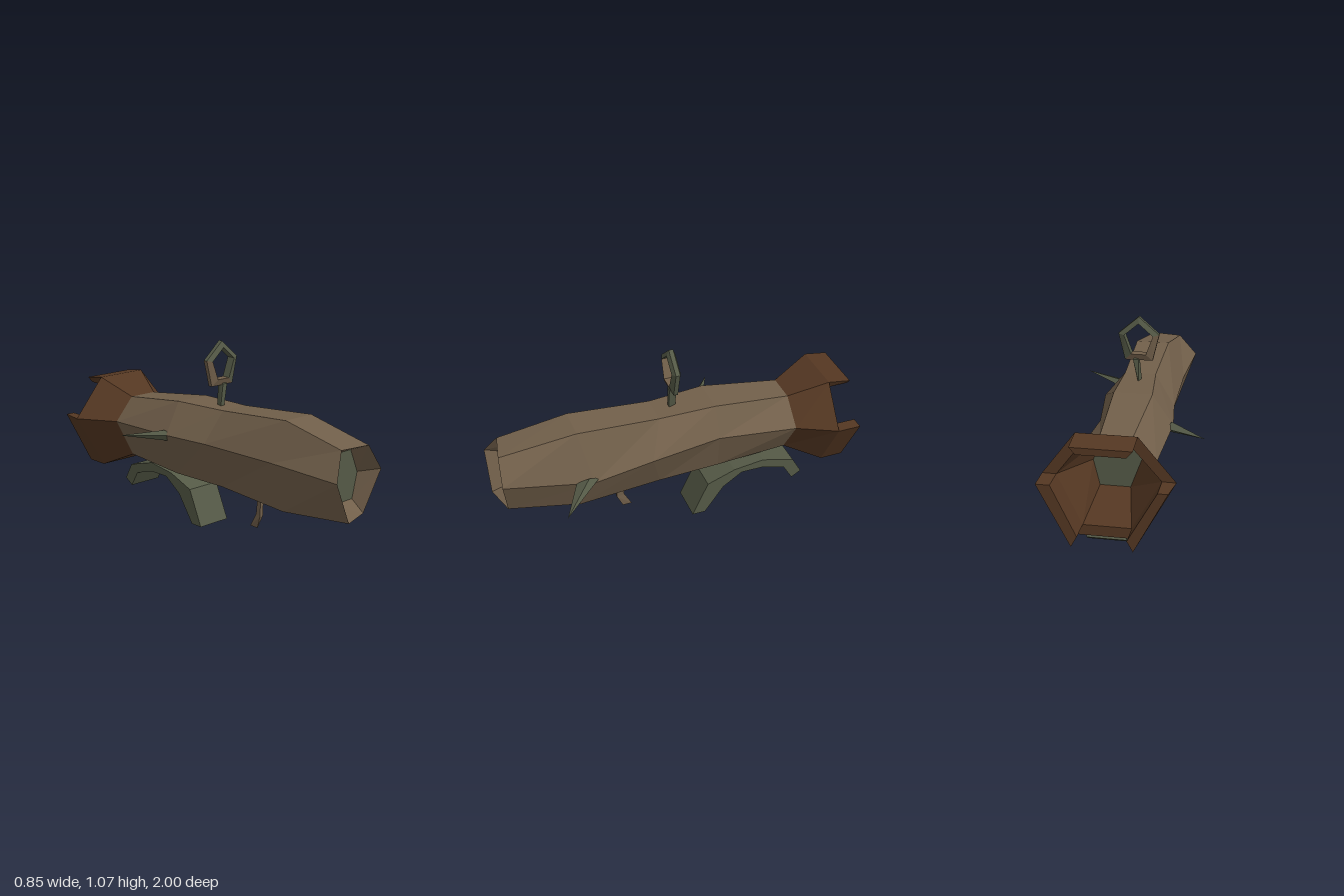
import * as THREE from 'three';
import { ConvexGeometry } from 'three/addons/geometries/ConvexGeometry.js';

const bark = new THREE.MeshStandardMaterial({ color: 0x715f4a });
bark.name = 'bark';
const darkWood = new THREE.MeshStandardMaterial({ color: 0x543722 });
darkWood.name = 'darkWood';
const moss = new THREE.MeshStandardMaterial({ color: 0x545946 });
moss.name = 'moss';

// Flat-faced skin over rings of points, with optional first and last caps
function loft(rings, capStart = false, capEnd = false) {
  const pos = [];
  const tri = (a, b, c) => pos.push(...a, ...b, ...c);
  const n = rings[0].length;
  for (let k = 0; k < rings.length - 1; k++) {
    for (let i = 0; i < n; i++) {
      const j = (i + 1) % n;
      const a = rings[k][i], b = rings[k][j], c = rings[k + 1][j], d = rings[k + 1][i];
      tri(a, d, c);
      tri(a, c, b);
    }
  }
  const last = rings[rings.length - 1];
  for (let i = 1; i < n - 1; i++) {
    if (capStart) tri(rings[0][0], rings[0][i], rings[0][i + 1]);
    if (capEnd) tri(last[0], last[i + 1], last[i]);
  }
  const g = new THREE.BufferGeometry();
  g.setAttribute('position', new THREE.Float32BufferAttribute(pos, 3));
  g.computeVertexNormals();
  return g;
}

const convex = (pts) => new ConvexGeometry(pts.map((p) => new THREE.Vector3(...p)));
const atZ = (pts, z) => pts.map(([x, y]) => [x, y, z]);

export function createModel() {
  const group = new THREE.Group();
  const add = (name, geometry, material, parent = group) => {
    const m = new THREE.Mesh(geometry, material);
    m.name = name;
    parent.add(m);
    return m;
  };

  // Corner order for every hexagon: top -x, top +x, side +x, bottom +x, bottom -x, side -x
  const lens = [[-0.08, 0.635], [0.04, 0.635], [0.095, 0.51], [0.062, 0.375], [-0.093, 0.375], [-0.15, 0.53]];

  // Crooked hollow log with a recess at the front
  const back = [[-0.11, 0.655], [0.055, 0.655], [0.19, 0.525], [0.055, 0.305], [-0.11, 0.305], [-0.225, 0.525]];
  add('log', loft([
    atZ(back, -0.66),
    [[-0.13, 0.71, -0.22], [0.075, 0.71, -0.22], [0.15, 0.545, -0.22], [0.06, 0.285, -0.25], [-0.12, 0.285, -0.25], [-0.24, 0.54, -0.2]],
    [[-0.095, 0.71, 0.1], [0.075, 0.71, 0.1], [0.205, 0.54, 0.18], [0.075, 0.285, 0.1], [-0.1, 0.285, 0.1], [-0.205, 0.54, 0.07]],
    [[-0.095, 0.745, 0.56], [0.092, 0.745, 0.56], [0.185, 0.47, 0.5], [0.093, 0.265, 0.56], [-0.107, 0.265, 0.56], [-0.19, 0.54, 0.55]],
    [[-0.11, 0.675, 0.94], [0.057, 0.675, 0.97], [0.147, 0.54, 0.98], [0.057, 0.32, 0.95], [-0.11, 0.32, 1], [-0.205, 0.54, 1]],
    atZ(lens, 0.87),
  ]), bark);
  add('frontLens', loft([atZ(lens, 0.85), atZ(lens, 0.871)], true, true), moss);

  // Flared eyepiece cup
  const outer = [[-0.17, 0.745], [0.13, 0.745], [0.295, 0.525], [0.13, 0.21], [-0.17, 0.21], [-0.355, 0.525]];
  const inner = [[-0.14, 0.69], [0.1, 0.69], [0.225, 0.525], [0.1, 0.265], [-0.14, 0.265], [-0.285, 0.525]];
  add('cup', loft([atZ(lens, -0.64), atZ(inner, -0.87), atZ(outer, -0.87), atZ(back, -0.66)]), darkWood);
  add('backLens', loft([atZ(lens, -0.641), atZ(lens, -0.62)], true, true), moss);

  // Rim tabs on every second side of the cup
  const outerEnd = outer.map(([x, y], i) => [i === 5 ? -0.335 : x, i < 2 ? 0.725 : y]);
  for (const i of [0, 2, 4]) {
    const j = i + 1;
    const tab = (o, z) => atZ([o[i], o[j], inner[j], inner[i]], z);
    add('rimTab', loft([tab(outerEnd, -1), tab(outer, -0.87)], true), darkWood);
  }

  // Curved strip of bark used as a grip below
  const profile = [
    [-0.085, 0], [-0.175, 0.2], [-0.335, 0.26], [-0.51, 0.283], [-0.7, 0.23], [-0.755, 0.135],
    [-0.7, 0.1], [-0.645, 0.19], [-0.51, 0.23], [-0.38, 0.23], [-0.27, 0.155], [-0.16, 0],
  ];
  const shape = new THREE.Shape(profile.map(([z, y]) => new THREE.Vector2(-z, y)));
  const grip = new THREE.ExtrudeGeometry(shape, { depth: 0.203, bevelEnabled: false });
  grip.rotateY(Math.PI / 2).translate(-0.093, 0, 0);
  add('grip', grip, moss);

  // Bent trigger twig
  const mid = [[-0.037, 0.155, 0.325], [-0.015, 0.155, 0.325], [-0.02, 0.16, 0.28]];
  add('triggerTop', convex([[-0.03, 0.29, 0.325], [-0.008, 0.29, 0.325], [-0.02, 0.29, 0.292], ...mid]), bark);
  add('triggerTip', convex([...mid, [-0.02, 0.08, 0.29], [-0.02, 0.08, 0.237]]), bark);

  // Side thorns
  add('rightThorn', convex([
    [-0.21, 0.54, -0.17], [-0.21, 0.54, -0.26], [-0.235, 0.565, -0.22], [-0.225, 0.505, -0.21], [-0.428, 0.542, -0.365],
  ]), moss);
  add('leftThorn', convex([
    [0.17, 0.485, 0.47], [0.17, 0.485, 0.595], [0.185, 0.508, 0.53], [0.185, 0.472, 0.52], [0.422, 0.488, 0.715],
  ]), moss);

  // Five-sided sighting ring on a tapered stem
  const sight = new THREE.Group();
  sight.name = 'sight';
  group.add(sight);
  const ringOut = [[-0.02, 1.065], [0.09, 0.97], [0.055, 0.825], [-0.095, 0.825], [-0.13, 0.97]];
  const ringIn = [[-0.02, 1.03], [0.058, 0.963], [0.02, 0.86], [-0.06, 0.86], [-0.098, 0.963]];
  for (let i = 0; i < 5; i++) {
    const pts = [];
    for (const k of [i, (i + 1) % 5]) {
      for (const s of [-1, 1]) {
        pts.push([...ringOut[k], s * 0.012], [...ringIn[k], s * 0.025]);
      }
    }
    add('ringSegment', convex(pts), i === 2 || i === 3 ? bark : moss, sight);
  }
  add('stem', convex([
    [-0.02, 0.855, 0], [0.01, 0.83, 0.02], [0.01, 0.83, -0.02], [-0.02, 0.83, 0.02], [-0.02, 0.83, -0.02],
    [-0.033, 0.7, 0.015], [-0.008, 0.7, 0.015], [-0.02, 0.7, -0.025],
  ]), moss, sight);

  return group;
}
